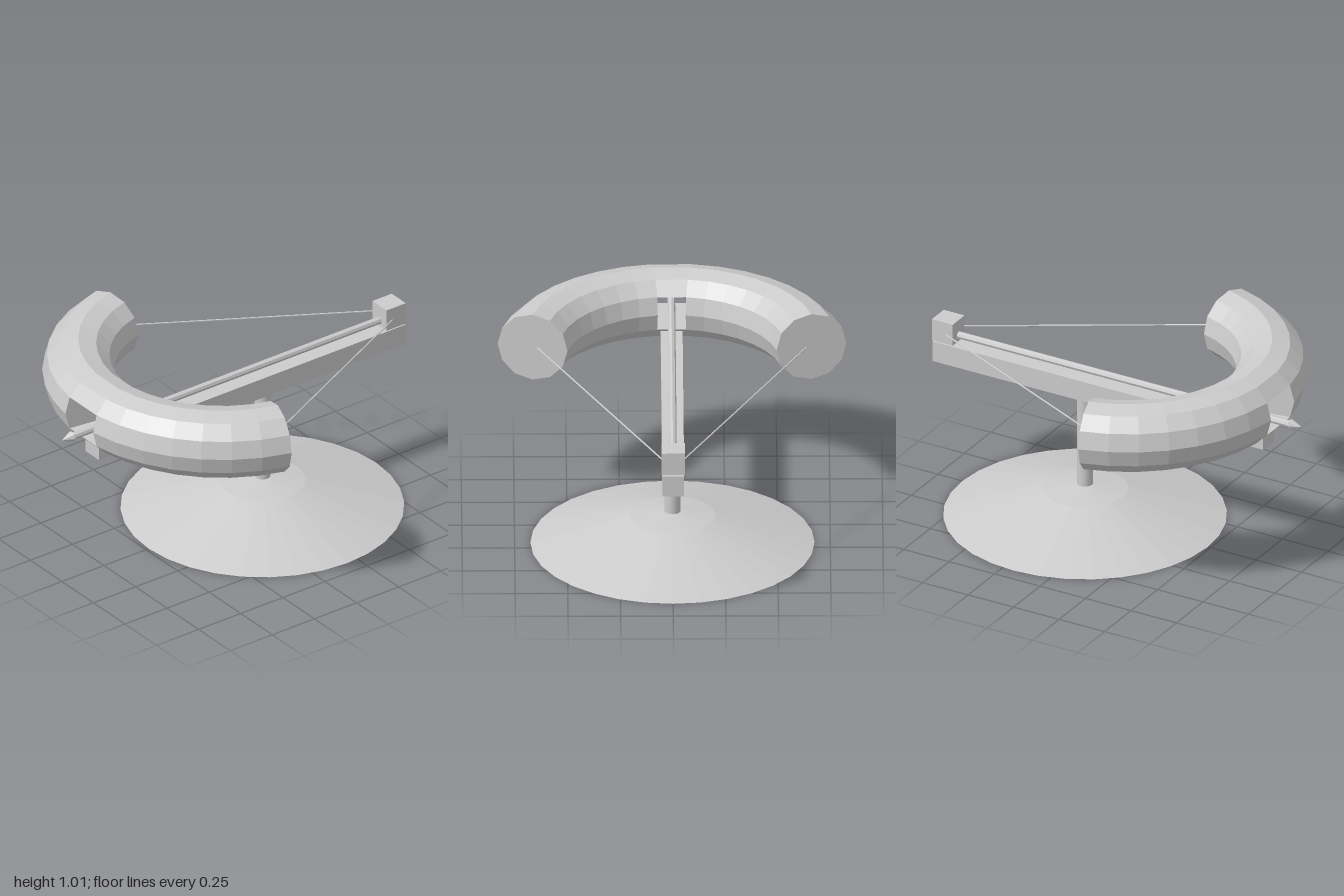
import * as THREE from 'three';

const material = new THREE.MeshStandardMaterial({ color: 0xcccccc, flatShading: true });
const smooth = new THREE.MeshStandardMaterial({ color: 0xcccccc });
const rad = THREE.MathUtils.degToRad;

// Curved bow: centre of the arc, arc radius, tube radius
const BOW = { y: 0.835, z: 0.05, arc: 0.683, tube: 0.171 };
const END = rad(76), SLOT = rad(7.4);

function add(group, name, geometry, x = 0, y = 0, z = 0, mat = material) {
  const mesh = new THREE.Mesh(geometry, mat);
  mesh.name = name;
  mesh.position.set(x, y, z);
  group.add(mesh);
  return mesh;
}

// Points of the twelve-sided tube section, from step a to step b (0 = outermost)
function section(a, b) {
  const points = [];
  for (let i = a; i <= b; i++) {
    const t = rad(i * 30);
    points.push([BOW.arc + BOW.tube * Math.cos(t), BOW.tube * Math.sin(t)]);
  }
  return points;
}

// Sweeps a closed section around the bow's vertical axis, with optional flat ends
function sweep(points, from, to, steps, capped) {
  const n = points.length, vertices = [], index = [];
  for (let s = 0; s <= steps; s++) {
    const a = from + (to - from) * s / steps;
    for (const [r, y] of points) vertices.push(r * Math.sin(a), y, r * Math.cos(a));
  }
  for (let s = 0; s < steps; s++) {
    for (let i = 0; i < n; i++) {
      const j = (i + 1) % n, a = s * n + i, b = s * n + j;
      index.push(a, a + n, b, b, a + n, b + n);
    }
  }
  if (capped) {
    const last = steps * n;
    for (let i = 1; i < n - 1; i++) {
      index.push(0, i, i + 1, last, last + i + 1, last + i);
    }
  }
  const geometry = new THREE.BufferGeometry();
  geometry.setAttribute('position', new THREE.Float32BufferAttribute(vertices, 3));
  geometry.setIndex(index);
  const flat = geometry.toNonIndexed();
  flat.computeVertexNormals();
  return flat;
}

export function createModel() {
  const model = new THREE.Group();
  model.name = 'mountedBow';

  // Shallow domed foot and post
  const foot = [[0, 0], [0.675, 0], [0.205, 0.143], [0.03, 0.167], [0, 0.167]]
    .map(([r, y]) => new THREE.Vector2(r, y));
  add(model, 'base', new THREE.LatheGeometry(foot, 32), 0, 0, -0.19);
  add(model, 'post', new THREE.CylinderGeometry(0.038, 0.038, 0.49, 24), 0, 0.4, -0.19, smooth);

  // Rail with the string block at its rear
  add(model, 'rail', new THREE.BoxGeometry(0.104, 0.105, 1.82), 0, 0.683, -0.09);
  add(model, 'stringBlock', new THREE.BoxGeometry(0.112, 0.112, 0.115), 0, 0.8, -0.9425);

  // Bow arms, joined above and below the arrow slot
  const bow = new THREE.Group();
  bow.name = 'bow';
  bow.position.set(0, BOW.y, BOW.z);
  model.add(bow);
  add(bow, 'leftArm', sweep(section(0, 11), SLOT, END, 7, true));
  add(bow, 'rightArm', sweep(section(0, 11), -END, -SLOT, 7, true));
  add(bow, 'slotTop', sweep(section(1, 5), -SLOT, SLOT, 1, false));
  add(bow, 'slotBottom', sweep(section(7, 11), -SLOT, SLOT, 1, false));

  // Arrow lying above the rail
  const shaft = new THREE.CylinderGeometry(0.018, 0.018, 1.84, 8).rotateX(Math.PI / 2);
  add(model, 'arrowShaft', shaft, 0, 0.777, 0.025);
  const tip = new THREE.ConeGeometry(0.028, 0.06, 8).rotateX(Math.PI / 2);
  add(model, 'arrowTip', tip, 0, 0.777, 0.97);

  // Strings from the bow ends to the block
  for (const side of [1, -1]) {
    const path = new THREE.LineCurve3(
      new THREE.Vector3(side * 0.645, 0.832, 0.225),
      new THREE.Vector3(side * 0.04, 0.79, -0.95));
    add(model, side > 0 ? 'leftString' : 'rightString', new THREE.TubeGeometry(path, 1, 0.004, 6));
  }
  return model;
}
